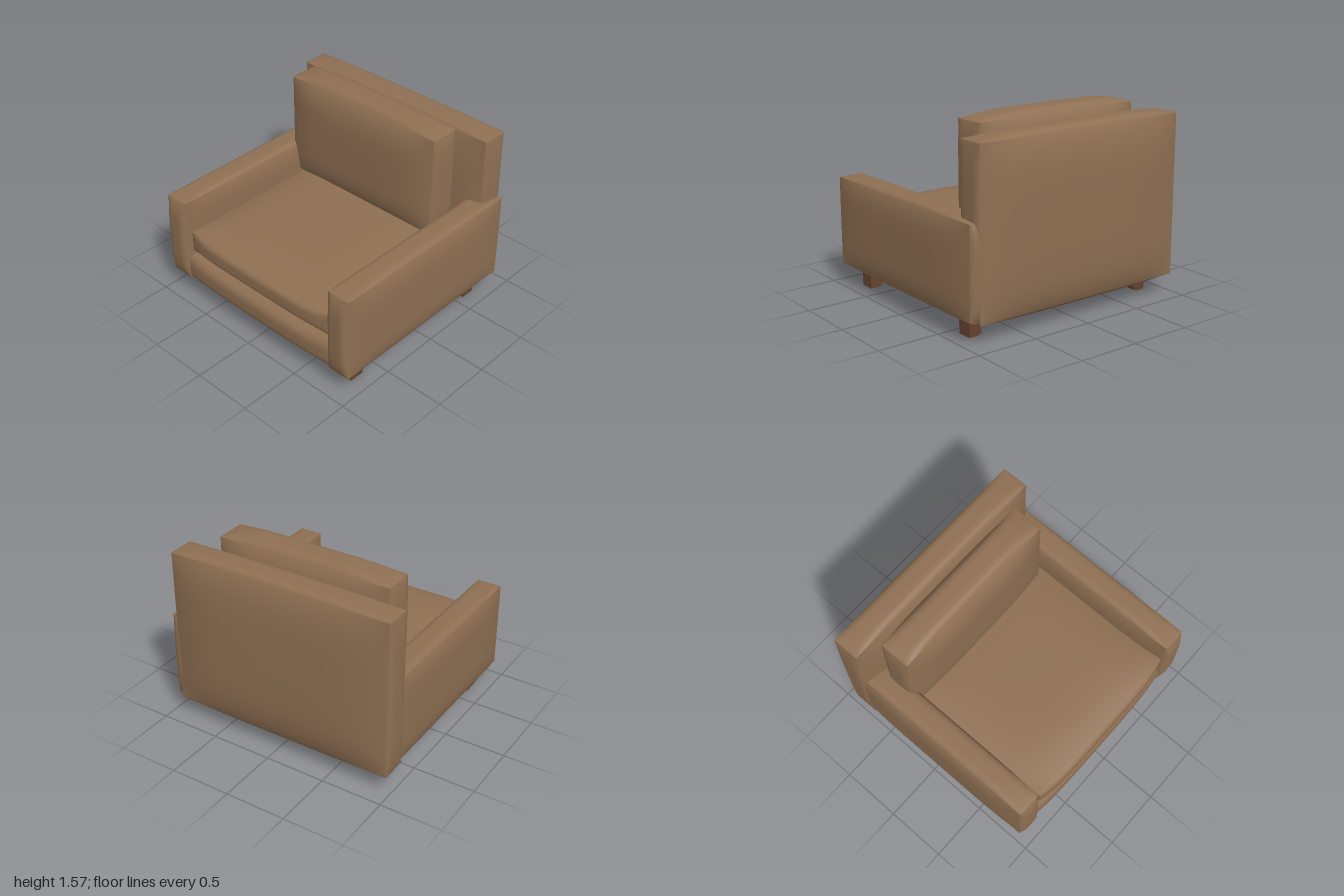
import * as THREE from 'three';
import { mergeVertices } from 'three/addons/utils/BufferGeometryUtils.js';

const fabric = new THREE.MeshStandardMaterial({ color: 0x8e6f52 });
const wood = new THREE.MeshStandardMaterial({ color: 0x65432f });

// Upholstered block: a box whose faces swell by `bulge` between straight seams.
// min and max are the outer limits, including the swelling.
function upholstery(name, min, max, bulge, power = 5) {
  const half = max.map((m, i) => (m - min[i]) / 2);
  const mid = max.map((m, i) => (m + min[i]) / 2);
  let geo = new THREE.BoxGeometry(2, 2, 2, 20, 20, 20);
  geo.deleteAttribute('uv');
  geo.deleteAttribute('normal');
  geo = mergeVertices(geo);
  const pos = geo.attributes.position;
  const swell = (t) => 1 - Math.abs(t) ** power;
  for (let i = 0; i < pos.count; i++) {
    // crowd the grid lines towards the seams
    const u = [pos.getX(i), pos.getY(i), pos.getZ(i)].map((t) => Math.sin((t * Math.PI) / 2));
    const p = u.map((t, k) => {
      const s = swell(u[(k + 1) % 3]) * swell(u[(k + 2) % 3]);
      return mid[k] + t * (half[k] - bulge[k] * (1 - s));
    });
    pos.setXYZ(i, ...p);
  }
  geo.computeVertexNormals();
  const mesh = new THREE.Mesh(geo, fabric);
  mesh.name = name;
  return mesh;
}

// Bracket foot: straight outside, scrolled inside, cut from a board of the given depth.
function footGeometry(depth) {
  const s = new THREE.Shape();
  s.moveTo(0.865, 0);
  s.lineTo(0.865, 0.2);
  s.lineTo(0.735, 0.2);
  s.lineTo(0.735, 0.115);
  s.quadraticCurveTo(0.77, 0.105, 0.77, 0.075);
  s.quadraticCurveTo(0.755, 0.06, 0.758, 0.03);
  s.quadraticCurveTo(0.762, 0, 0.8, 0);
  s.closePath();
  const geo = new THREE.ExtrudeGeometry(s, { depth, bevelEnabled: false, curveSegments: 6 });
  return geo.translate(0, 0, -depth / 2);
}

export function createModel() {
  const chair = new THREE.Group();
  chair.name = 'armchair';

  // Frame
  chair.add(
    upholstery('base', [-0.96, 0.11, -0.9], [0.96, 0.44, 0.935], [0.03, 0.05, 0.06], 4),
    upholstery('backrest', [-1, 0.12, -0.95], [0.925, 1.49, -0.6], [0.025, 0.035, 0.065]),
    upholstery('rightArm', [-1, 0.15, -0.89], [-0.73, 0.917, 0.945], [0.035, 0.025, 0.04]),
    upholstery('leftArm', [0.735, 0.15, -0.89], [1, 0.917, 0.945], [0.035, 0.025, 0.04])
  );

  // Loose cushions
  chair.add(
    upholstery('seatCushion', [-0.745, 0.425, -0.62], [0.795, 0.697, 0.94], [0.03, 0.05, 0.045]),
    upholstery('backCushion', [-0.82, 0.62, -0.64], [0.705, 1.565, -0.265], [0.03, 0.045, 0.06])
  );

  // Feet: the right-hand pair is the left pair turned half round
  const foot = footGeometry(0.125);
  for (const side of [1, -1]) {
    for (const [z, end] of [[0.7, 'front'], [-0.64, 'back']]) {
      const mesh = new THREE.Mesh(foot, wood);
      mesh.name = end + (side > 0 ? 'LeftFoot' : 'RightFoot');
      mesh.rotation.y = side > 0 ? 0 : Math.PI;
      mesh.position.z = z;
      chair.add(mesh);
    }
  }
  return chair;
}
